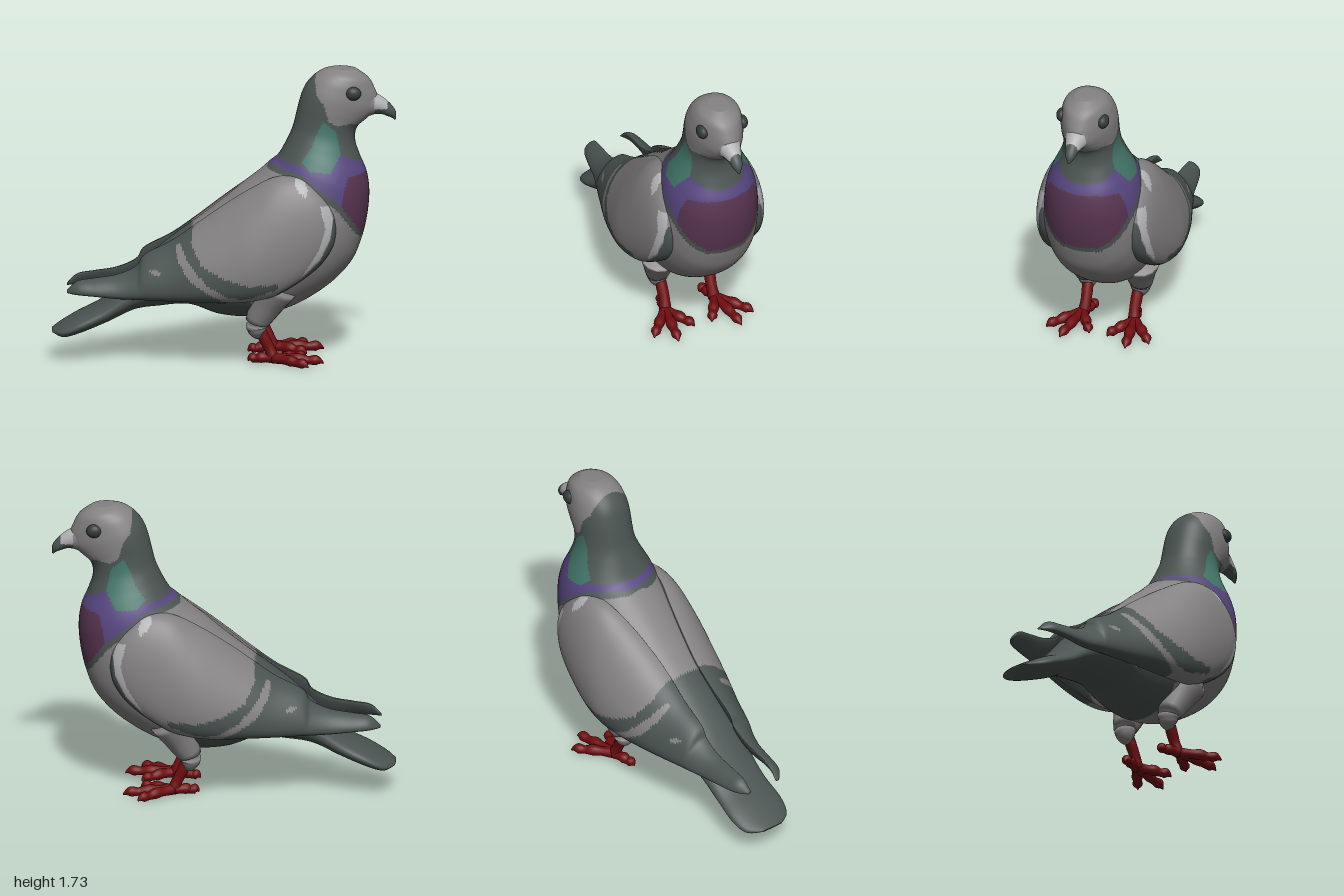
import * as THREE from 'three';

const material = (name, color) => {
  const m = new THREE.MeshStandardMaterial({ color });
  m.name = name;
  return m;
};
const MATS = [
  material('light grey', 0x848182), material('dark slate', 0x4b5452), material('purple', 0x56467f),
  material('maroon', 0x573450), material('green', 0x427468), material('pale grey', 0xb2b2b5),
  material('red', 0x700d10), material('eye black', 0x353a3a),
];
const [LIGHT, DARK, PURPLE, MAROON, GREEN, PALE, RED, EYE] = MATS.keys();

// Smooth interpolation of rows of numbers, t from 0 to 1
function sample(rows, t) {
  const f = t * (rows.length - 1), i = Math.min(Math.floor(f), rows.length - 2), k = f - i;
  const at = j => rows[Math.max(0, Math.min(rows.length - 1, j))];
  return rows[0].map((_, c) => {
    const [a, b, d, e] = [at(i - 1)[c], at(i)[c], at(i + 1)[c], at(i + 2)[c]];
    return b + 0.5 * k * (d - a + k * (2 * a - 5 * b + 4 * d - e + k * (3 * (b - d) + e - a)));
  });
}

function inside(poly, x, y) {
  let hit = false;
  poly.forEach(([ax, ay], i) => {
    const [bx, by] = poly[(i + 1) % poly.length];
    if ((ay > y) !== (by > y) && x < ax + (bx - ax) * (y - ay) / (by - ay)) hit = !hit;
  });
  return hit;
}

// Closed skin over rings of points; pick(centre) chooses the colour of each face
function loft(name, rings, pick) {
  const n = rings[0].length, pts = rings.flat(), tris = [];
  const last = rings.length - 1;
  for (let i = 0; i < last; i++) for (let j = 0; j < n; j++) {
    const a = i * n + j, b = i * n + (j + 1) % n;
    tris.push([a, b, b + n], [a, b + n, a + n]);
  }
  for (const r of [0, last]) {
    const c = pts.length;
    pts.push(rings[r].reduce((s, p) => s.add(p), new THREE.Vector3()).divideScalar(n));
    for (let j = 0; j < n; j++) {
      const a = r * n + j, b = r * n + (j + 1) % n;
      tris.push(r ? [a, b, c] : [b, a, c]);
    }
  }
  // Turn the faces outward if the enclosed volume is negative
  const cross = new THREE.Vector3();
  const volume = tris.reduce((s, [a, b, c]) => s + pts[a].dot(cross.crossVectors(pts[b], pts[c])), 0);
  const sets = MATS.map(() => []);
  for (const [a, b, c] of tris) {
    const mid = pts[a].clone().add(pts[b]).add(pts[c]).divideScalar(3);
    sets[pick(mid)].push(...(volume > 0 ? [a, b, c] : [a, c, b]));
  }
  const geo = new THREE.BufferGeometry().setFromPoints(pts);
  geo.setIndex(sets.flat());
  let start = 0;
  sets.forEach((s, m) => {
    if (s.length) geo.addGroup(start, s.length, m);
    start += s.length;
  });
  geo.computeVertexNormals();
  const mesh = new THREE.Mesh(geo, MATS);
  mesh.name = name;
  return mesh;
}

// Tapered round limb; rows are x, y, z, radius
function limb(name, rows, pick, steps = 18, sides = 14) {
  const curve = new THREE.CatmullRomCurve3(rows.map(r => new THREE.Vector3(...r)), false, 'catmullrom', 0.5);
  const rings = [];
  for (let i = 0; i <= steps; i++) {
    const t = i / steps, c = curve.getPoint(t), r = Math.max(0.003, sample(rows, t)[3]);
    const d = curve.getTangent(t), side = new THREE.Vector3(-d.z, 0, d.x);
    if (side.length() < 0.3) side.set(0, 0, 1);
    side.addScaledVector(d, -side.dot(d)).normalize();
    const up = new THREE.Vector3().crossVectors(side, d);
    rings.push(Array.from({ length: sides }, (_, j) => {
      const a = j / sides * Math.PI * 2;
      return c.clone().addScaledVector(side, r * Math.cos(a)).addScaledVector(up, r * Math.sin(a));
    }));
  }
  return loft(name, rings, pick);
}

// Body sections from tail to crown: back x, y, front x, y, half width, forward taper
const BODY = [
  [-1.0, .185, -.99, .17, .07, 0], [-.95, .22, -.93, .147, .15, 0], [-.85, .28, -.84, .17, .18, 0],
  [-.72, .35, -.68, .235, .175, 0], [-.6, .45, -.52, .31, .18, 0], [-.46, .6, -.38, .33, .2, 0],
  [-.3, .735, -.2, .34, .22, 0], [-.15, .845, -.02, .28, .25, 0], [0, .96, .18, .27, .29, 0],
  [.12, 1.06, .4, .33, .31, 0], [.21, 1.13, .6, .45, .32, 0], [.26, 1.175, .73, .58, .31, 0],
  [.285, 1.195, .79, .7, .3, 0], [.305, 1.21, .83, .85, .285, 0], [.325, 1.235, .845, 1, .265, 0],
  [.345, 1.27, .83, 1.12, .235, 0], [.37, 1.32, .79, 1.22, .2, 0], [.4, 1.39, .763, 1.31, .17, 0],
  [.42, 1.47, .775, 1.39, .163, .05], [.437, 1.54, .84, 1.45, .172, .25], [.46, 1.61, .89, 1.5, .175, .4],
  [.49, 1.66, .895, 1.56, .165, .4], [.53, 1.7, .875, 1.62, .148, .3], [.58, 1.73, .84, 1.68, .115, .1],
  [.63, 1.743, .77, 1.733, .06, 0],
];
const HEAD = [[.55, 1.8], [.53, 1.68], [.54, 1.6], [.58, 1.55], [.61, 1.45], [.66, 1.42], [.74, 1.43],
  [.8, 1.41], [1, 1.4], [1, 1.8]];
const THROAT_GREEN = [[.58, 1.45], [.65, 1.39], [.68, 1.26], [.62, 1.16], [.5, 1.17], [.45, 1.22], [.51, 1.3], [.54, 1.38]];
const COLLAR = [[.2, 1.18], [.28, 1.22], [.45, 1.2], [.6, 1.16], [.68, 1.26], [.77, 1.21], [.9, 1.14],
  [.72, 1.13], [.68, .97], [.55, 1.07], [.45, 1.15], [.3, 1.185]];
const BIB = [[.9, 1.14], [.72, 1.13], [.68, .97], [.8, .785], [.9, .765]];
const BIB_EDGE = [[.25, 1.16], [.45, 1.12], [.67, .93], [.79, .755], [.9, .735], [.9, 1.1], [.45, 1.2], [.28, 1.22]];

function bodyColour({ x, y, z }) {
  if (inside(HEAD, x, y)) return LIGHT;
  if (Math.abs(z) > .05 && inside(THROAT_GREEN, x, y)) return GREEN;
  if (inside(BIB, x, y)) return MAROON;
  if (inside(COLLAR, x, y)) return PURPLE;
  if (y > 1.16 && x > .28 || inside(BIB_EDGE, x, y)) return DARK;
  return x < -.18 || (x < .16 && y < .43) ? DARK : LIGHT;
}

function buildBody() {
  const rings = [], steps = 200, sides = 112;
  for (let i = 0; i <= steps; i++) {
    const [bx, by, fx, fy, w, taper] = sample(BODY, i / steps);
    rings.push(Array.from({ length: sides }, (_, j) => {
      const a = j / sides * Math.PI * 2, f = (1 - Math.cos(a)) / 2, s = Math.sin(a);
      const z = w * Math.sign(s) * Math.abs(s) ** 0.9 * (1 - taper * f * f);
      return new THREE.Vector3(bx + (fx - bx) * f, by + (fy - by) * f, z);
    }));
  }
  return loft('body', rings, bodyColour);
}

// Wing columns from shoulder to tip: x, top y, bottom y, outer z, top z, bottom z
const WING = [
  [.652, .86, .8, .275, .25, .25], [.63, .96, .72, .31, .24, .25], [.56, 1.06, .62, .35, .23, .26],
  [.45, 1.135, .53, .375, .21, .27], [.3, 1.13, .445, .393, .19, .28], [.15, 1.05, .41, .395, .15, .28],
  [0, .95, .4, .37, .12, .27], [-.15, .84, .4, .335, .1, .25], [-.3, .735, .4, .29, .1, .23],
  [-.46, .65, .4, .245, .1, .2], [-.51, .58, .4, .23, .1, .19], [-.62, .53, .4, .2, .1, .17],
  [-.75, .508, .41, .18, .1, .16], [-.85, .49, .415, .16, .1, .14], [-.912, .435, .42, .115, .1, .11],
];
const PRIMARIES = [[-.17, .9], [-.19, .74], [-.13, .63], [0, .56], [.15, .52], [.33, .53], [.3, .49],
  [.12, .435], [.02, .45], [-.1, .52], [-.2, .63], [-.25, .73], [-.28, .73], [-.27, .65], [-.2, .54],
  [-.1, .47], [.02, .41], [.05, .3], [-1, .3], [-1, .9]];
const SHOULDER_PALE = [[.56, .98], [.61, .98], [.635, .9], [.62, .79], [.56, .67], [.45, .56], [.5, .64], [.56, .74], [.59, .85]];
const SHOULDER_SPOT = [[.42, 1.14], [.46, 1.14], [.49, 1.07], [.48, 1.03], [.44, 1.06], [.41, 1.11]];
const LEADING_EDGE = [[.7, .93], [.637, .9], [.62, .78], [.56, .66], [.45, .55], [.3, .46], [.3, .4], [.7, .4]];
const SECONDARY_SPOT = [[-.43, .58], [-.4, .585], [-.37, .565], [-.38, .55], [-.42, .56]];

function wingColour({ x, y }) {
  if (inside(SHOULDER_PALE, x, y) || inside(SHOULDER_SPOT, x, y)) return PALE;
  if (inside(SECONDARY_SPOT, x, y)) return LIGHT;
  return inside(PRIMARIES, x, y) || inside(LEADING_EDGE, x, y) ? DARK : LIGHT;
}

function buildWing(side) {
  const rings = [], steps = 180, sides = 68;
  for (let i = 0; i <= steps; i++) {
    const [x, top, bottom, outer, zt, zb] = sample(WING, i / steps);
    const bulge = outer - (zt + zb) / 2;
    rings.push(Array.from({ length: sides }, (_, j) => {
      const a = j / sides * Math.PI * 2, f = (1 - Math.cos(a)) / 2, s = Math.sin(a);
      const z = zt + (zb - zt) * f + (s > 0 ? bulge * s ** 0.8 : 0.015 * s);
      return new THREE.Vector3(x, top + (bottom - top) * f, side * z);
    }));
  }
  return loft(side > 0 ? 'leftWing' : 'rightWing', rings, wingColour);
}

function buildLeg(side) {
  const leg = new THREE.Group();
  leg.name = side > 0 ? 'leftLeg' : 'rightLeg';
  const add = (name, colour, rows) =>
    leg.add(limb(name, rows.map(([x, y, z, r]) => [x, y, z * side, r]), () => colour));
  add('thigh', LIGHT, [[.31, .48, .2, .12], [.25, .37, .18, .095], [.195, .26, .165, .07], [.2, .2, .157, .05], [.225, .17, .152, .02]]);
  add('shank', RED, [[.2, .24, .155, .03], [.23, .17, .152, .034], [.265, .1, .15, .032], [.29, .04, .155, .036]]);
  // Toes swell at the joints and end in a claw
  const toes = [['middleToe', .58, .2], ['outerToe', .49, .315], ['innerToe', .48, .055], ['hindToe', .14, .125]];
  for (const [name, x, z] of toes) {
    const steps = [[0, .045, .032], [.3, .045, .027], [.5, .045, .033], [.68, .038, .024], [.84, .04, .03], [.94, .033, .015], [1, .022, .004]];
    add(name, RED, steps.map(([t, y, r]) => [.29 + (x - .29) * t, y, .16 + (z - .16) * t, r]));
  }
  return leg;
}

function buildEye(side) {
  const eye = new THREE.Mesh(new THREE.SphereGeometry(.043, 24, 16), MATS[EYE]);
  eye.name = side > 0 ? 'leftEye' : 'rightEye';
  eye.position.set(.75, 1.61, side * .125);
  eye.scale.set(1.1, .95, .8);
  return eye;
}

export function createModel() {
  const bird = new THREE.Group();
  bird.name = 'pigeon';
  bird.add(buildBody());
  // Hooked beak with the pale cere on top
  bird.add(limb('beak', [[.82, 1.53, 0, .085], [.885, 1.52, 0, .06], [.935, 1.5, 0, .042], [.975, 1.468, 0, .028], [.996, 1.432, 0, .006]],
    ({ x, y }) => x < .875 ? LIGHT : x < .95 && y > 1.5 ? PALE : DARK, 40, 28));
  for (const side of [1, -1]) bird.add(buildWing(side), buildLeg(side), buildEye(side));
  return bird;
}
